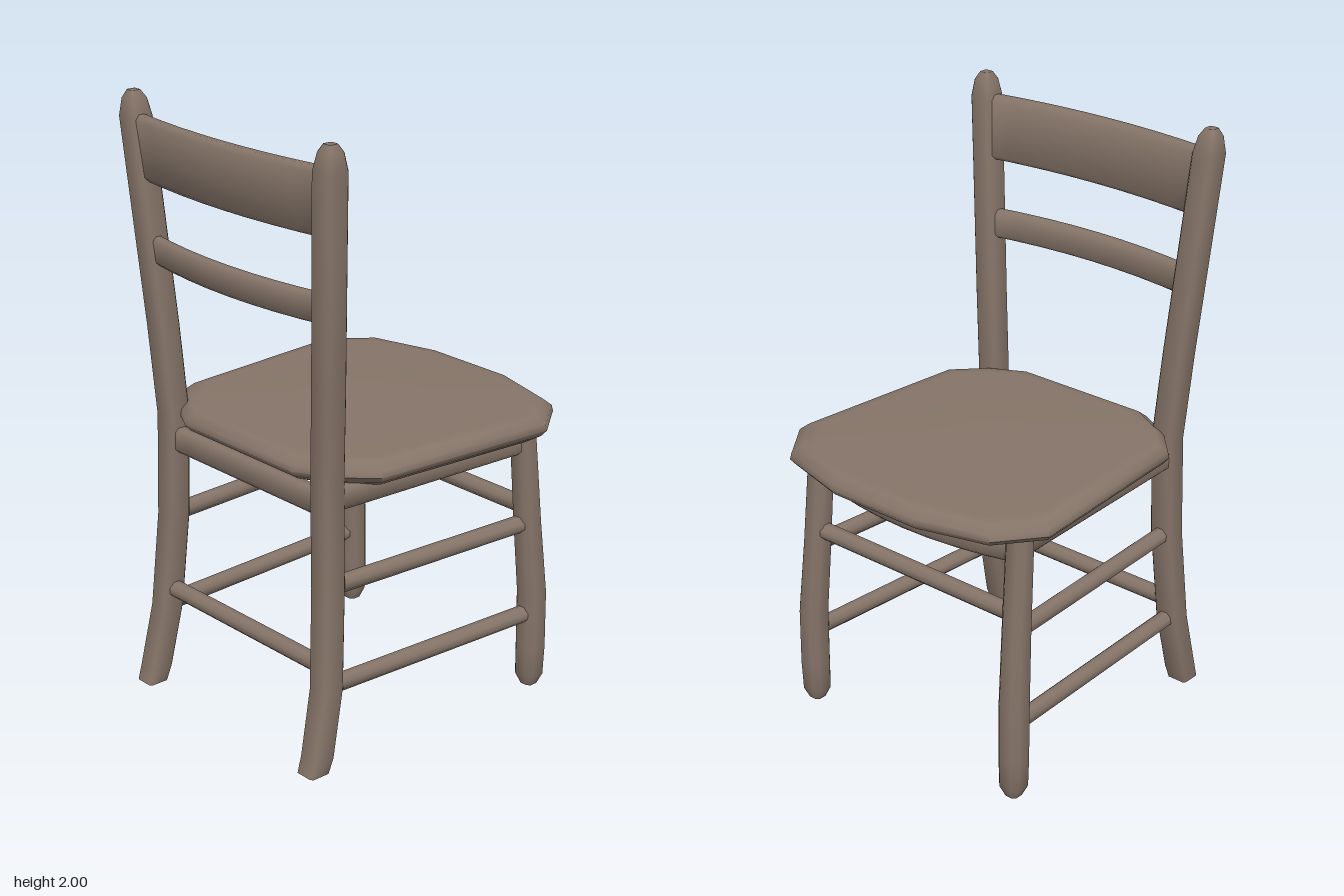
import * as THREE from 'three';
import { toCreasedNormals } from 'three/addons/utils/BufferGeometryUtils.js';

const SKEW = 0.055; // the whole chair is racked slightly: x shifts with z

// Closed skin through a list of rings (each a list of [x, y, z]), capped at both ends
function loft(rings, crease = 1.0) {
  const n = rings[0].length, pos = [], idx = [];
  const put = ([x, y, z]) => pos.push(x + SKEW * z, y, z);
  rings.forEach((r) => r.forEach(put));
  for (let i = 0; i < rings.length - 1; i++) {
    for (let j = 0; j < n; j++) {
      const a = i * n + j, b = i * n + (j + 1) % n;
      idx.push(a, b, a + n, b, b + n, a + n);
    }
  }
  [0, rings.length - 1].forEach((k) => {
    const c = pos.length / 3;
    put([0, 1, 2].map((d) => rings[k].reduce((s, p) => s + p[d], 0) / n));
    for (let j = 0; j < n; j++) {
      const a = k * n + j, b = k * n + (j + 1) % n;
      if (k === 0) idx.push(c, b, a); else idx.push(c, a, b);
    }
  });
  // Turn the skin outward when its signed volume is negative
  const v = (i) => new THREE.Vector3().fromArray(pos, i * 3);
  let volume = 0;
  for (let i = 0; i < idx.length; i += 3) volume += v(idx[i]).dot(v(idx[i + 1]).cross(v(idx[i + 2])));
  if (volume < 0) idx.reverse();
  const g = new THREE.BufferGeometry();
  g.setAttribute('position', new THREE.Float32BufferAttribute(pos, 3));
  g.setIndex(idx);
  return toCreasedNormals(g, crease);
}

// Square with trimmed corners, half-sizes a and b
function trimmed(a, b, k) {
  const c = Math.min(a, b) * k;
  return [[a, -b + c], [a, b - c], [a - c, b], [-a + c, b], [-a, b - c], [-a, -b + c], [-a + c, -b], [a - c, -b]];
}

// Upright member; path entries are [x, y, z, scale]
const upright = (path, half, s, trim) =>
  loft(path.map(([x, y, z, k]) => trimmed(half * k, half * k, trim).map(([u, w]) => [x + u, y, z * s + w])));

// Cross member running along z, bowed backward by 'bow', leaning by 'lean'
function crossRail(x, y, halfLength, halfDepth, halfHeight, bow, lean = 0, trim = 0.5) {
  const rings = [];
  for (let i = 0; i <= 8; i++) {
    const t = i / 4 - 1;
    const cx = x - bow * (1 - t * t);
    rings.push(trimmed(halfDepth, halfHeight, trim).map(([u, w]) => [cx + u - lean * w / halfHeight, y + w, t * halfLength]));
  }
  return loft(rings);
}

export function createModel() {
  const chair = new THREE.Group();
  chair.name = 'chair';
  const wood = new THREE.MeshStandardMaterial({ color: 0x857468 });
  wood.name = 'brown wood';
  const add = (name, geometry) => {
    const m = new THREE.Mesh(geometry, wood);
    m.name = name;
    chair.add(m);
  };

  // Seat: faceted outline with a bevelled rim
  const half = [[0.55, 0.17], [0.485, 0.41], [0.345, 0.517], [-0.29, 0.465], [-0.39, 0.37], [-0.455, 0.25]];
  const outline = [...half, ...half.slice().reverse().map(([x, z]) => [x, -z])];
  const seatRing = (y, inset) => outline.map(([x, z]) => {
    const cx = 0.04;
    return [cx + (x - cx) * (1 - inset / 0.5), y, z * (1 - inset / 0.5)];
  });
  add('seat', loft([
    seatRing(0.908, 0.055), seatRing(0.935, 0.015), seatRing(0.955, 0),
    seatRing(0.975, 0.004), seatRing(0.998, 0.03), seatRing(1.0, 0.06),
  ], 0.9));

  for (const s of [1, -1]) {
    const side = s > 0 ? 'left' : 'right';

    // Back posts, splayed at the foot and opening outward to the top
    add(side + 'BackPost', upright([
      [-0.505, 0, 0.4, 0.95], [-0.488, 0.05, 0.4, 1], [-0.442, 0.27, 0.39, 1], [-0.418, 0.6, 0.372, 1],
      [-0.412, 0.95, 0.364, 1], [-0.424, 1.25, 0.385, 1], [-0.46, 1.92, 0.436, 1],
      [-0.461, 1.975, 0.439, 0.75], [-0.462, 2, 0.44, 0.4],
    ], 0.039, s, 0.22));

    // Front legs
    add(side + 'FrontLeg', upright([
      [0.396, 0.005, 0.43, 0.55], [0.396, 0.045, 0.43, 0.95], [0.397, 0.15, 0.431, 1], [0.395, 0.35, 0.43, 1],
      [0.375, 0.6, 0.42, 0.94], [0.35, 0.93, 0.411, 0.88],
    ], 0.042, s, 0.45));

    // Side apron and two round side stretchers
    const alongX = (xa, xb, y, za, zb, h, w, trim) =>
      loft([[xa, za], [xb, zb]].map(([x, z]) => trimmed(w, h, trim).map(([u, v]) => [x, y + v, z * s + u])));
    add(side + 'Apron', alongX(-0.4, 0.35, 0.888, 0.37, 0.41, 0.038, 0.028, 0.5));
    add(side + 'UpperStretcher', alongX(-0.41, 0.375, 0.6, 0.372, 0.42, 0.027, 0.027, 0.59));
    add(side + 'LowerStretcher', alongX(-0.43, 0.39, 0.273, 0.388, 0.43, 0.027, 0.027, 0.59));
  }

  // Front and back aprons and stretchers
  add('frontApron', crossRail(0.345, 0.87, 0.4, 0.028, 0.042, -0.06));
  add('backApron', crossRail(-0.41, 0.87, 0.36, 0.026, 0.042, 0));
  add('frontStretcher', crossRail(0.37, 0.655, 0.41, 0.027, 0.027, 0, 0, 0.59));
  add('backStretcher', crossRail(-0.435, 0.335, 0.38, 0.027, 0.027, 0, 0, 0.59));

  // Bowed back rails
  add('crestRail', crossRail(-0.452, 1.825, 0.42, 0.026, 0.105, 0.035, 0.01, 0.6));
  add('lowerBackRail', crossRail(-0.435, 1.5, 0.395, 0.022, 0.047, 0.04, 0.004, 0.6));

  return chair;
}
